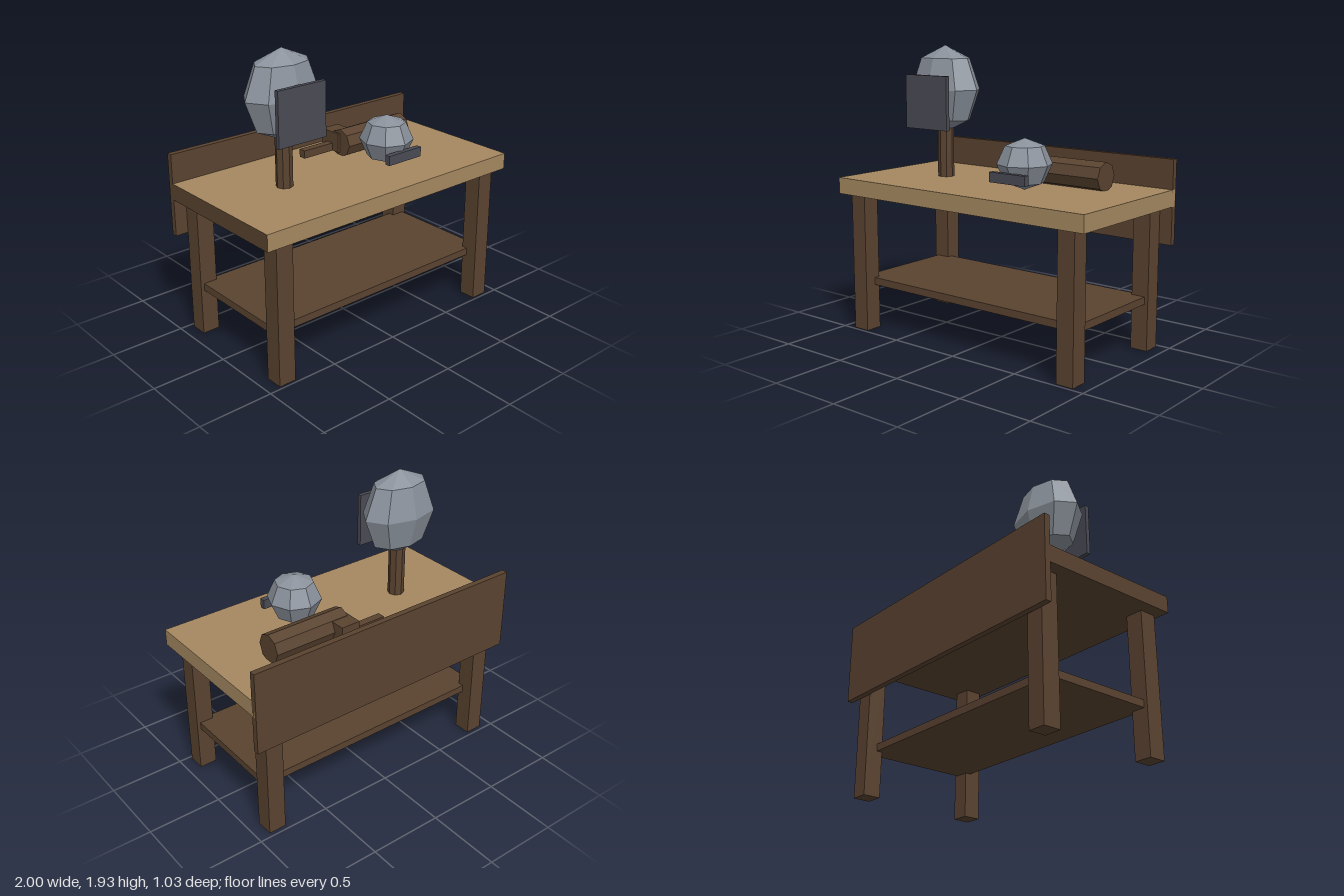
import * as THREE from 'three';

export function createModel() {
  const root = new THREE.Group();
  const mat = (name, color, flat = true) => {
    const m = new THREE.MeshStandardMaterial({ color });
    m.name = name;
    m.flatShading = flat;
    return m;
  };
  const darkWood = mat('darkWood', 0x5a4330);
  const lightWood = mat('lightWood', 0xa58860);
  const steel = mat('steel', 0x8a919b);
  const darkSteel = mat('darkSteel', 0x4a4a55);

  const add = (name, geometry, material, x, y, z) => {
    const mesh = new THREE.Mesh(geometry, material);
    mesh.name = name;
    mesh.position.set(x, y, z);
    root.add(mesh);
    return mesh;
  };
  // Box given by its extents on each axis
  const box = (name, material, [x0, x1], [y0, y1], [z0, z1]) =>
    add(name, new THREE.BoxGeometry(x1 - x0, y1 - y0, z1 - z0), material,
      (x0 + x1) / 2, (y0 + y1) / 2, (z0 + z1) / 2);

  // Bench: top with dark underside and left end, legs, shelf, back board
  box('benchTop', [lightWood, darkWood, lightWood, darkWood, lightWood, darkWood],
    [-1, 1], [0.94, 1.05], [-0.505, 0.515]);
  for (const x of [-0.855, 0.855]) {
    for (const z of [-0.41, 0.42]) {
      box('leg', darkWood, [x - 0.06, x + 0.06], [0, 0.94], [z - 0.06, z + 0.06]);
    }
  }
  box('lowerShelf', darkWood, [-0.89, 0.89], [0.31, 0.36], [-0.39, 0.4]);
  box('backBoard', darkWood, [-1, 1], [0.69, 1.245], [-0.515, -0.475]);

  // Helmet on a stand
  add('helmetPost', new THREE.CylinderGeometry(0.055, 0.055, 0.37, 8), darkWood, -0.485, 1.235, 0.003);
  add('tallHelmet', new THREE.SphereGeometry(1, 8, 4), steel, -0.485, 1.645, 0)
    .scale.set(0.275, 0.29, 0.176);
  box('tallHelmetVisor', darkSteel, [-0.665, -0.305], [1.385, 1.742], [0.168, 0.197]);

  // Helmet lying on the bench
  add('smallHelmet', new THREE.SphereGeometry(1, 8, 4), steel, 0.275, 1.217, 0.113)
    .scale.set(0.178, 0.164, 0.178);
  box('smallHelmetVisor', darkSteel, [0.135, 0.415], [1.11, 1.175], [0.257, 0.295]);

  // Wooden roll with a grip block and a rod
  add('woodenRoll', new THREE.CylinderGeometry(0.096, 0.096, 0.55, 8), darkWood, 0.41, 1.135, -0.19)
    .rotation.z = Math.PI / 2;
  box('gripBlock', darkWood, [0.12, 0.256], [1.068, 1.2], [-0.358, -0.193]);
  box('rod', darkWood, [-0.123, 0.16], [1.068, 1.122], [-0.302, -0.25]);

  return root;
}
